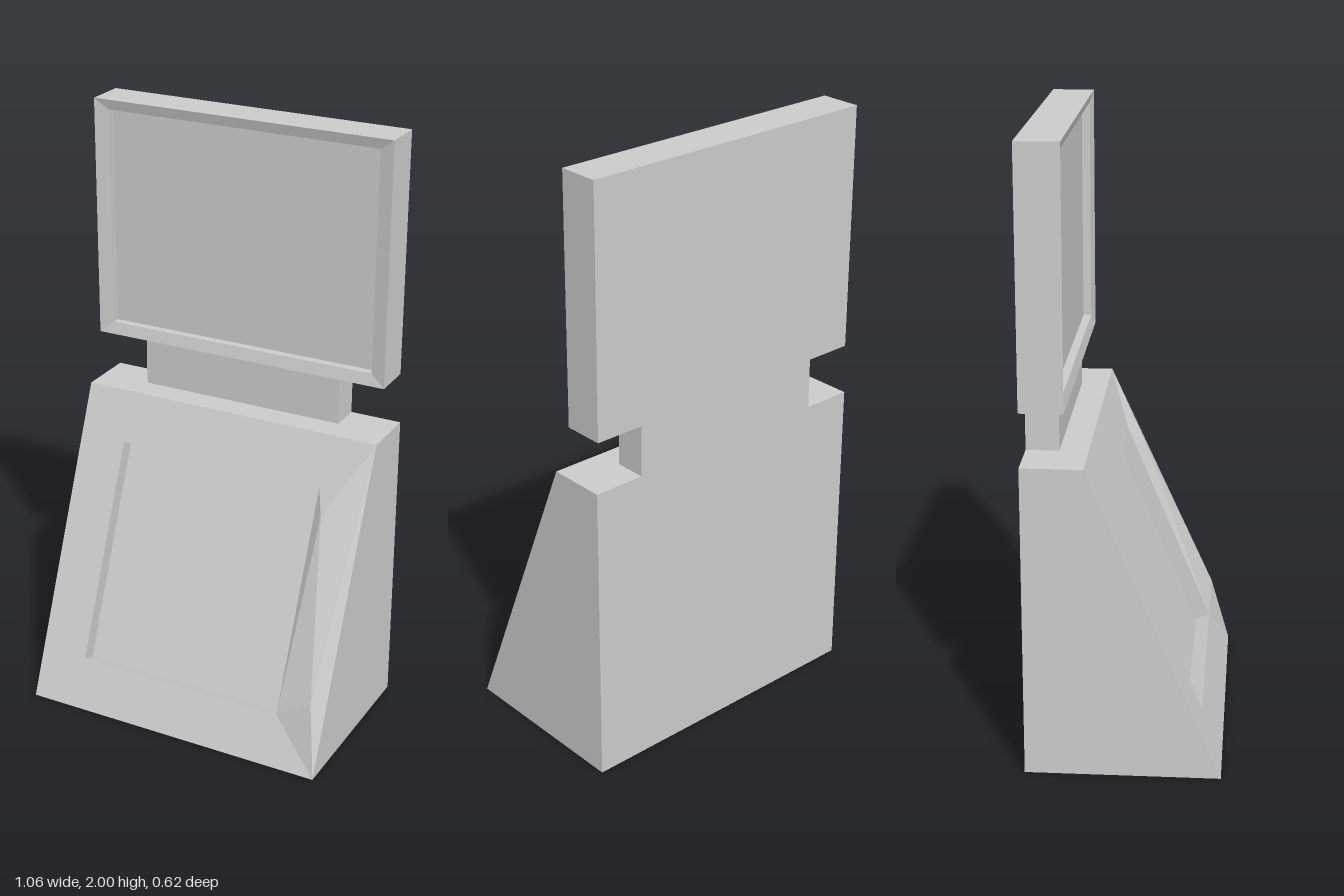
import * as THREE from 'three';

const BACK = -0.31;
const material = new THREE.MeshStandardMaterial({ color: 0xcccccc, flatShading: true });

// Flat polygons (corners counter-clockwise from outside), each split as a fan
function polyMesh(name, polygons) {
  const pos = [];
  for (const p of polygons) {
    for (let i = 1; i < p.length - 1; i++) pos.push(...p[0], ...p[i], ...p[i + 1]);
  }
  const geo = new THREE.BufferGeometry();
  geo.setAttribute('position', new THREE.Float32BufferAttribute(pos, 3));
  geo.computeVertexNormals();
  const mesh = new THREE.Mesh(geo, material);
  mesh.name = name;
  return mesh;
}

// Rectangular ring, counter-clockwise seen from the front; z given by height
const ring = (hw, y0, y1, zAt) =>
  [[-hw, y0], [hw, y0], [hw, y1], [-hw, y1]].map(([x, y]) => [x, y, zAt(y)]);

// Quads between an outer ring and the ring inside or in front of it
const band = (a, b) => a.map((p, i) => {
  const j = (i + 1) % a.length;
  return [p, a[j], b[j], b[i]];
});

const flat = (z) => () => z;

// Wedge cabinet with a sloping, recessed front panel
function makeBase() {
  const slope = (y) => 0.31 - (0.425 / 1.02) * y;
  const back = ring(0.53, 0, 1.02, flat(BACK));
  const front = ring(0.53, 0, 1.02, slope);
  const lip = ring(0.365, 0.16, 0.86, slope);
  const depth = 0.052;
  const n = new THREE.Vector2(0.425, 1.02).normalize();
  const floor = lip.map(([x, y, z]) => [x, y - n.x * depth, z - n.y * depth]);

  const frame = band(front, lip);
  frame.splice(1, 1); // the left strip is uneven and built below
  const upper = [0.4, 0.79, 0.012];
  const lower = [0.488, 0.24, 0.247];
  const [, br, tr] = front;
  const [, lb, lt] = lip;
  const unevenStrip = [
    [lb, upper, lt], [lb, lower, upper], [lb, br, lower],
    [br, tr, lower], [lower, tr, upper], [upper, tr, lt],
  ];

  const g = new THREE.Group();
  g.name = 'base';
  g.add(
    polyMesh('cabinet', [[...back].reverse(), ...band(back, front)]),
    polyMesh('panelFrame', [...frame, ...unevenStrip]),
    polyMesh('panelRecess', [...band(lip, floor), floor]),
  );
  return g;
}

// Upright screen with an inward-sloping bezel
function makeScreen() {
  const back = ring(0.523, 1.19, 2, flat(BACK));
  const front = ring(0.523, 1.19, 2, flat(-0.173));
  const lip = ring(0.475, 1.23, 1.965, flat(-0.183));
  const floor = ring(0.475, 1.23, 1.965, flat(-0.21));

  const g = new THREE.Group();
  g.name = 'screen';
  g.add(
    polyMesh('screenHousing', [[...back].reverse(), ...band(back, front)]),
    polyMesh('bezel', band(front, lip)),
    polyMesh('display', [...band(lip, floor), floor]),
  );
  return g;
}

export function createModel() {
  const model = new THREE.Group();
  model.name = 'kiosk';

  // Short neck joining base and screen, flush at the back
  const neck = new THREE.Mesh(new THREE.BoxGeometry(0.716, 0.17, 0.105), material);
  neck.name = 'neck';
  neck.position.set(-0.002, 1.105, BACK + 0.0525);

  model.add(makeBase(), neck, makeScreen());
  return model;
}
